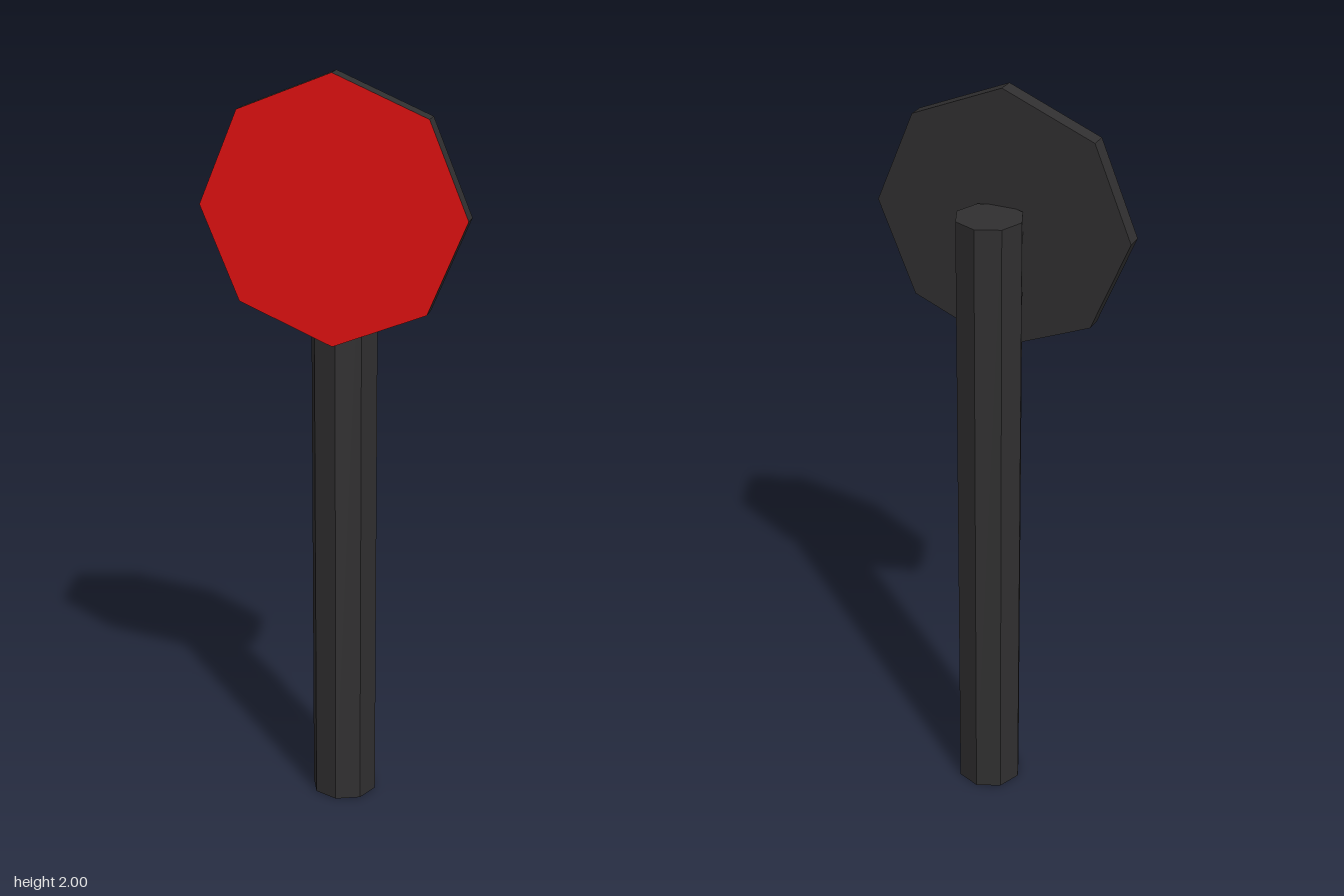
import * as THREE from 'three';

const SIDES = 8;

export function createModel() {
  const dark = new THREE.MeshStandardMaterial({ color: 0x302f30, flatShading: true });
  const red = new THREE.MeshStandardMaterial({ color: 0xe01010, flatShading: true });
  const group = new THREE.Group();

  // Octagonal post, standing slightly behind the centre
  const postHeight = 1.695;
  const post = new THREE.Mesh(
    new THREE.CylinderGeometry(0.088, 0.088, postHeight, SIDES), dark);
  post.name = 'post';
  post.position.set(0, postHeight / 2, -0.015);
  group.add(post);

  // Octagonal sign plate: dark rim and back, red front
  const plate = new THREE.Mesh(
    new THREE.CylinderGeometry(0.345, 0.345, 0.044, SIDES).rotateX(Math.PI / 2),
    [dark, red, dark]);
  plate.name = 'signPlate';
  plate.position.set(0, 1.655, 0.079);
  group.add(plate);

  return group;
}
